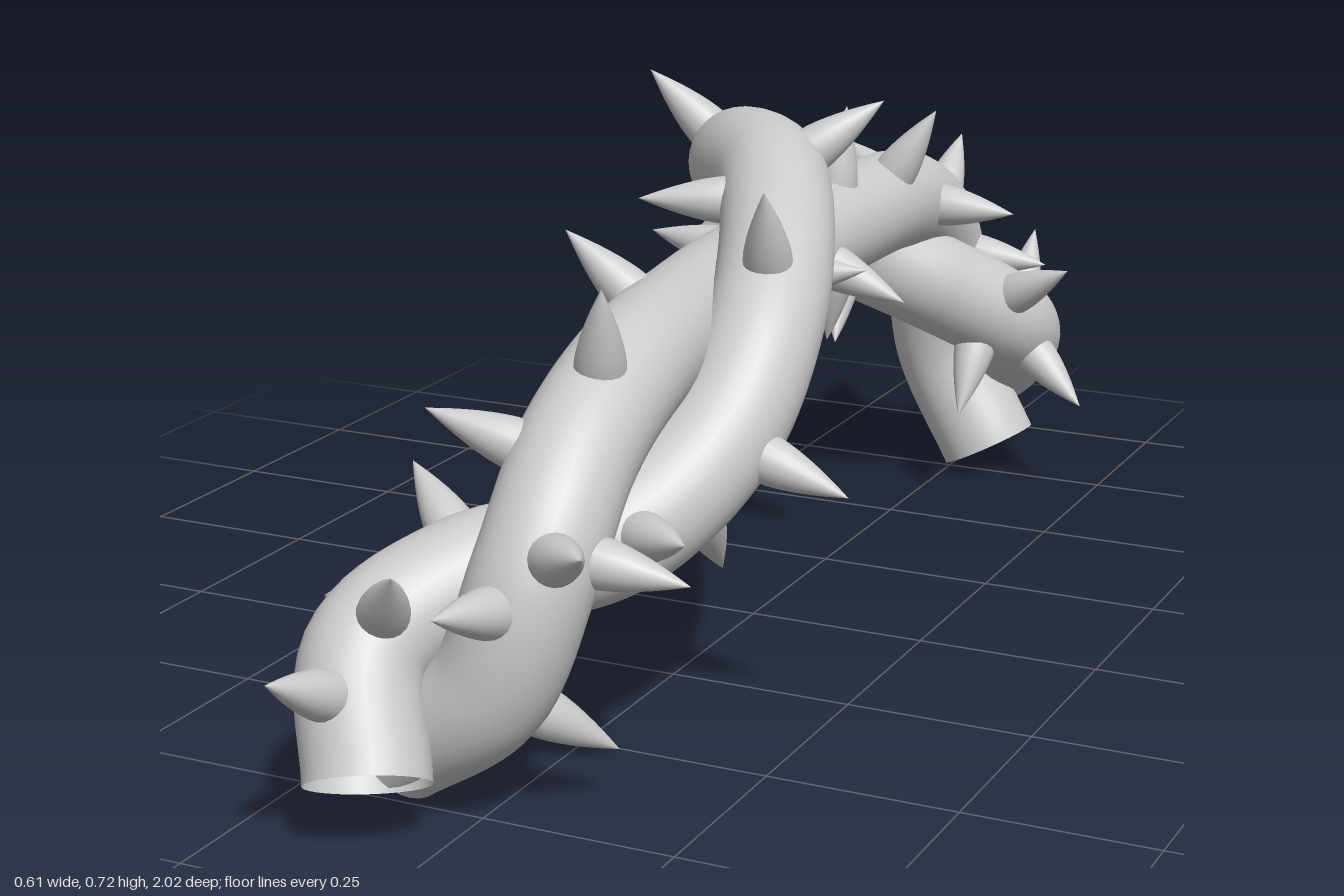
import * as THREE from 'three';

const RADIUS = 0.075;
const material = new THREE.MeshStandardMaterial({ color: 0xcccccc, side: THREE.DoubleSide });

// Centre lines, from the front end to the back end
const upperPath = [
  [-0.08, 0.1, 0.87], [-0.12, 0.23, 0.8], [-0.06, 0.29, 0.68], [0.07, 0.32, 0.53],
  [0.135, 0.41, 0.39], [0.135, 0.53, 0.25], [0.03, 0.64, 0], [-0.09, 0.63, -0.16],
  [-0.155, 0.56, -0.34], [-0.08, 0.43, -0.53], [0.02, 0.36, -0.62], [0.1, 0.28, -0.73],
  [0.05, 0.2, -0.85], [-0.04, 0.13, -0.9],
];
const lowerPath = [
  [-0.115, 0.1, 0.74], [0.01, 0.19, 0.745], [0.06, 0.33, 0.72], [0.06, 0.44, 0.62],
  [0.05, 0.5, 0.47], [0.01, 0.51, 0.2], [-0.02, 0.505, 0], [-0.02, 0.51, -0.3],
  [-0.02, 0.49, -0.6], [-0.025, 0.4, -0.73], [-0.03, 0.22, -0.785], [0.055, 0.06, -0.78],
];

// Thorns: [station counted in path points, degrees around the stem from outward towards +x]
const upperThorns = [
  [0.6, -5], [1.2, 30], [1.4, -110], [2.1, -65], [2.5, 180], [3, 65], [3.6, 180],
  [4, 105], [5.1, 10], [5.8, -80], [6.1, 60], [7.2, -52], [8.3, -118], [8.9, 165],
  [10.6, 78], [10.6, 180], [11.1, 130], [11.5, 0], [12.3, 10],
];
const lowerThorns = [
  [1, 127], [1.7, -5], [2.1, 42], [2.2, 100], [2.9, -60], [3.5, 12], [4.6, -48],
  [4.8, 180], [5.5, -142], [6, 82], [6.35, -82], [6.6, 110], [7, 8], [7.15, -173],
  [7.3, -42], [7.5, 33], [7.9, 92], [8.3, -57], [8.8, 0], [9.1, 90], [9.1, -90],
];

// Pointed thorn with gently bulging sides, standing on y = 0
const thornProfile = Array.from({ length: 9 }, (_, i) =>
  new THREE.Vector2(0.032 * (1 - (i / 8) ** 1.5), 0.118 * i / 8));
const thornGeometry = new THREE.LatheGeometry(thornProfile, 20);

// Thorn standing on the stem, square to its centre line
function makeThorn(curve, t, degrees) {
  const tangent = curve.getTangent(t);
  const side = new THREE.Vector3(1, 0, 0).projectOnPlane(tangent).normalize();
  const outward = side.clone().cross(tangent);
  const angle = THREE.MathUtils.degToRad(degrees);
  const direction = outward.multiplyScalar(Math.cos(angle)).addScaledVector(side, Math.sin(angle));
  const thorn = new THREE.Mesh(thornGeometry, material);
  thorn.name = 'thorn';
  thorn.position.copy(curve.getPoint(t)).addScaledVector(direction, RADIUS * 0.85);
  thorn.quaternion.setFromUnitVectors(new THREE.Vector3(0, 1, 0), direction);
  return thorn;
}

// Open-ended stem with its thorns
function makeVine(name, path, thorns) {
  const vine = new THREE.Group();
  vine.name = name;
  const curve = new THREE.CatmullRomCurve3(path.map((p) => new THREE.Vector3(...p)));
  const stem = new THREE.Mesh(new THREE.TubeGeometry(curve, 160, RADIUS, 32), material);
  stem.name = 'stem';
  vine.add(stem);
  for (const [station, degrees] of thorns) {
    vine.add(makeThorn(curve, station / (path.length - 1), degrees));
  }
  return vine;
}

export function createModel() {
  const model = new THREE.Group();
  model.name = 'twistedThornArch';
  model.add(makeVine('upperVine', upperPath, upperThorns));
  model.add(makeVine('lowerVine', lowerPath, lowerThorns));
  return model;
}
